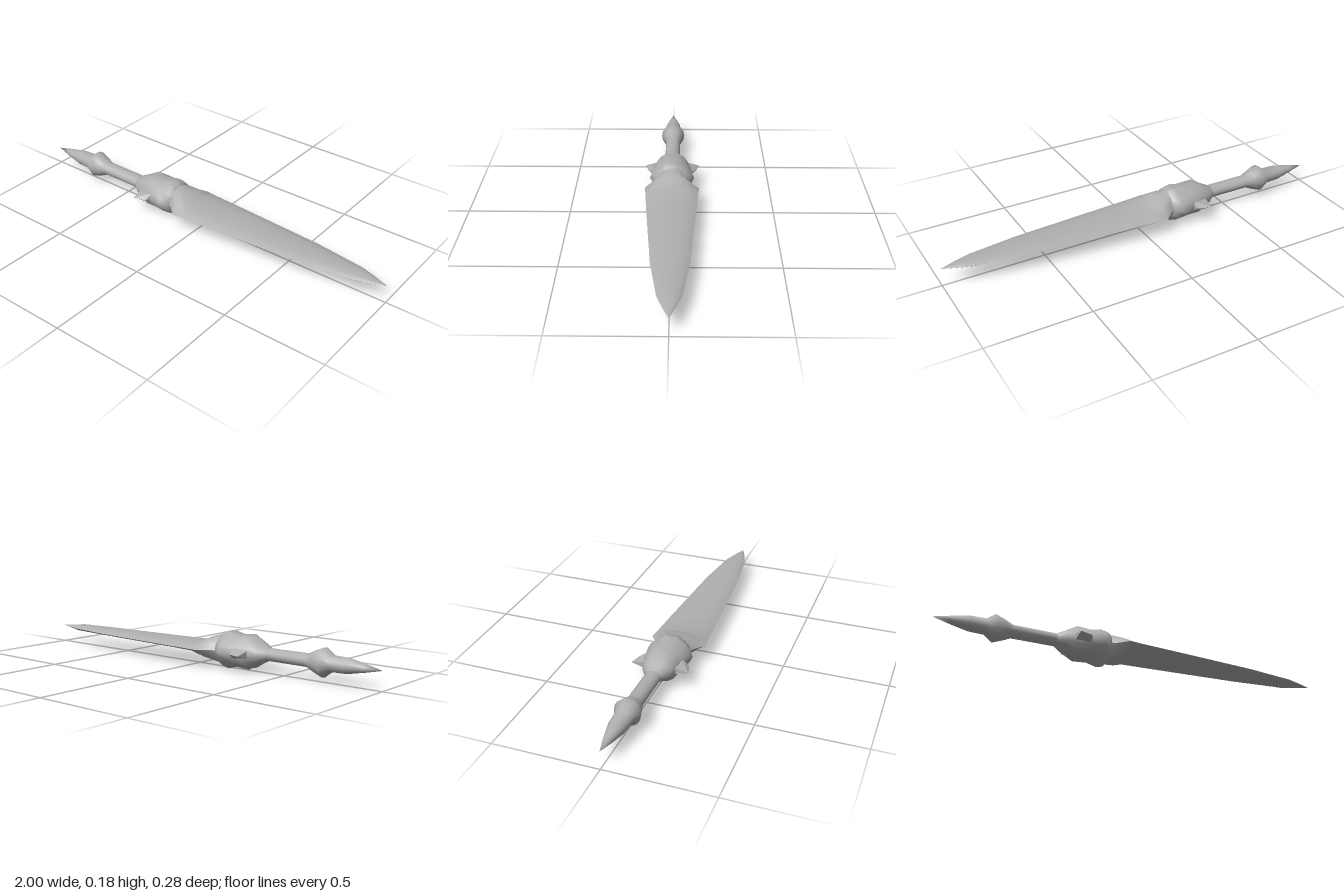
import * as THREE from 'three';
import { mergeVertices } from 'three/addons/utils/BufferGeometryUtils.js';
import { ConvexGeometry } from 'three/addons/geometries/ConvexGeometry.js';

const steel = new THREE.MeshStandardMaterial({ color: 0xb0b0b0 });
steel.name = 'grey steel';

// Quarter sections as [z, y], running from the side edge to the middle
const roundQuarter = (w, h) =>
  [0, 1, 2, 3, 4].map(i => [w * Math.cos(i * Math.PI / 8), h * Math.sin(i * Math.PI / 8)]);
const bladeQuarter = (w, h) =>
  [[1, 0], [0.85, 0.38], [0.62, 0.78], [0.3, 0.95], [0, 1]].map(([z, y]) => [z * w, y * h]);

// Skins stations [x, quarter] along x; sharp keeps a hard edge at both sides
function loft(name, stations, sharp = false) {
  const pos = [], idx = [];
  for (const side of [1, -1]) {
    const base = pos.length / 3;
    let n = 0;
    for (const [x, q] of stations) {
      const half = [...q, ...q.slice(0, -1).reverse().map(([z, y]) => [-z, y])];
      n = half.length;
      for (const [z, y] of half) pos.push(x, side * y, side * z);
    }
    for (let i = 0; i < stations.length - 1; i++) {
      for (let j = 0; j < n - 1; j++) {
        const a = base + i * n + j, b = a + n;
        idx.push(a, b, a + 1, b, b + 1, a + 1);
      }
    }
  }
  let geo = new THREE.BufferGeometry();
  geo.setAttribute('position', new THREE.Float32BufferAttribute(pos, 3));
  geo.setIndex(idx);
  if (!sharp) geo = mergeVertices(geo, 1e-5);
  geo.computeVertexNormals();
  const mesh = new THREE.Mesh(geo, steel);
  mesh.name = name;
  return mesh;
}

export function createModel() {
  const sword = new THREE.Group();
  sword.name = 'sword';
  const body = new THREE.Group();
  body.name = 'swordBody';
  body.position.y = 0.0885;
  sword.add(body);

  // Grip with pointed pommel and swollen knob: x, half width, half height
  const grip = [
    [-1, 0, 0], [-0.92, 0.021, 0.018], [-0.83, 0.04, 0.036], [-0.755, 0.045, 0.037],
    [-0.715, 0.062, 0.068], [-0.67, 0.05, 0.05], [-0.63, 0.038, 0.031],
    [-0.41, 0.038, 0.03], [-0.36, 0.04, 0.035],
  ];
  body.add(loft('gripAndPommel', grip.map(([x, w, h]) => [x, roundQuarter(w, h)])));

  // Sculpted guard with paired ridges above and below
  body.add(loft('guard', [
    [-0.42, roundQuarter(0.036, 0.029)],
    [-0.38, roundQuarter(0.068, 0.048)],
    [-0.32, [[0.088, 0], [0.08, 0.03], [0.06, 0.06], [0.03, 0.08], [0, 0.076]]],
    [-0.25, [[0.1, 0], [0.095, 0.028], [0.07, 0.052], [0.03, 0.074], [0, 0.07]]],
    [-0.2, [[0.112, 0], [0.1, 0.026], [0.076, 0.052], [0.028, 0.0885], [0, 0.08]]],
    [-0.165, [[0.09, 0], [0.083, 0.03], [0.065, 0.052], [0.028, 0.08], [0, 0.077]]],
    [-0.15, roundQuarter(0.06, 0.055)],
    [-0.14, roundQuarter(0, 0)],
  ]));

  // Side spikes of the guard
  for (const s of [1, -1]) {
    const points = [
      [-0.34, 0, 0.14], [-0.28, 0, 0.122], [-0.265, 0, 0.095],
      [-0.345, 0.02, 0.06], [-0.345, -0.02, 0.06], [-0.265, 0.028, 0.08], [-0.265, -0.028, 0.08],
    ].map(([x, y, z]) => new THREE.Vector3(x, y, z * s));
    const spike = new THREE.Mesh(new ConvexGeometry(points), steel);
    spike.name = s > 0 ? 'frontSpike' : 'backSpike';
    body.add(spike);
  }

  // Blade, thick at the root and flattening to a pointed tip
  body.add(loft('blade', [
    [-0.18, bladeQuarter(0.07, 0.07)],
    [-0.14, bladeQuarter(0.09, 0.068)],
    [-0.09, [[0.135, 0], [0.105, 0.02], [0.075, 0.04], [0.04, 0.05], [0, 0.053]]],
    [-0.03, bladeQuarter(0.13, 0.023)],
    [0.13, bladeQuarter(0.12, 0.02)],
    [0.6, bladeQuarter(0.087, 0.016)],
    [0.85, bladeQuarter(0.053, 0.016)],
    [0.93, bladeQuarter(0.027, 0.008)],
    [1, bladeQuarter(0, 0)],
  ], true));

  return sword;
}
